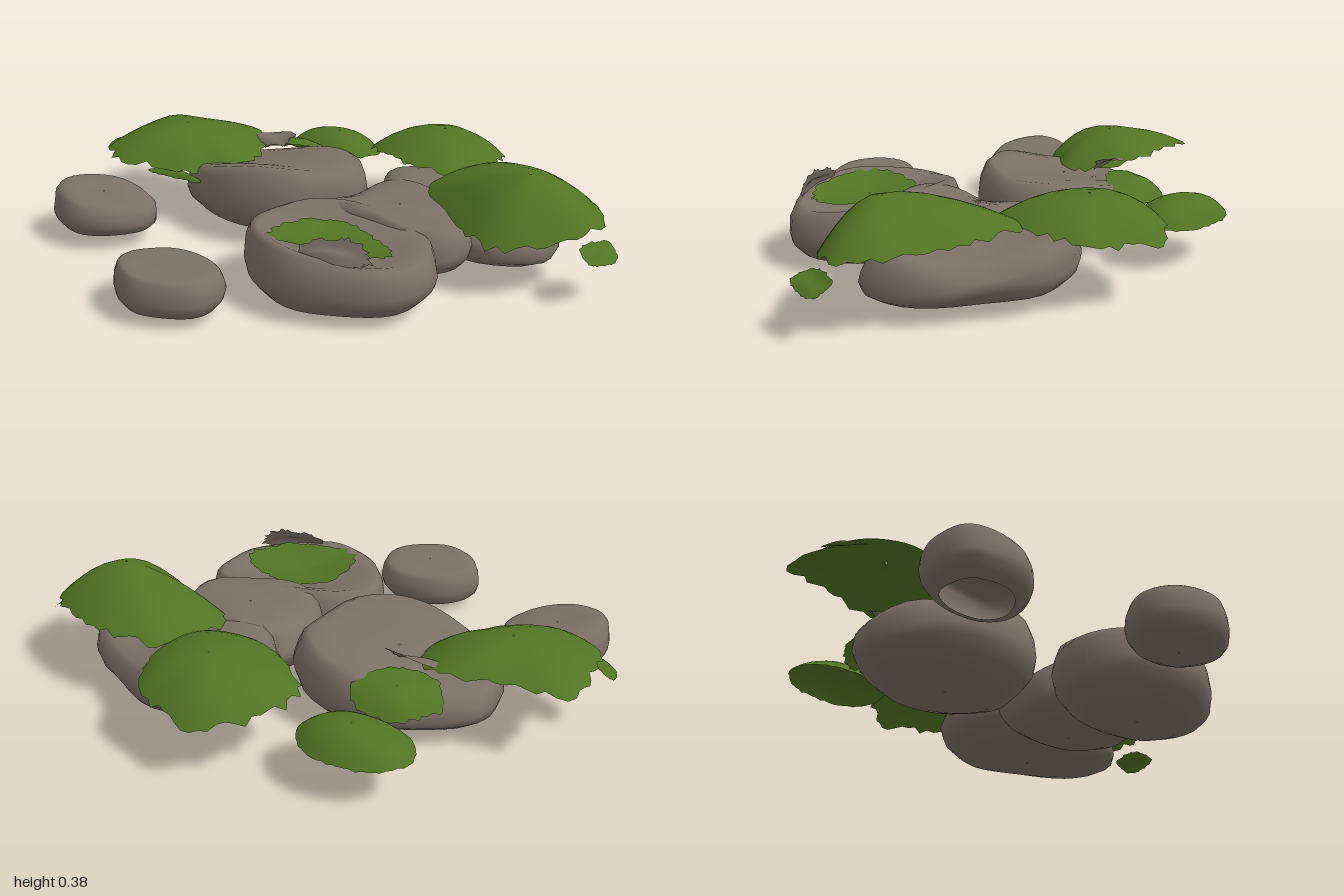
import * as THREE from 'three';

const stone = new THREE.MeshStandardMaterial({ color: 0x7b7166, side: THREE.DoubleSide });
stone.name = 'stone grey';
const moss = new THREE.MeshStandardMaterial({ color: 0x527424, side: THREE.DoubleSide });
moss.name = 'moss green';

// Small seeded generator for ragged edges
function seeded(seed) {
  return () => (seed = (seed * 16807) % 2147483647) / 2147483647;
}

// Skin closed rings of Vector3, ordered from bottom/outside to top/centre
function loft(rings) {
  const n = rings[0].length;
  const index = [];
  for (let i = 0; i < rings.length - 1; i++) {
    for (let j = 0; j < n; j++) {
      const a = i * n + j, b = i * n + (j + 1) % n;
      index.push(a, a + n, b, b, a + n, b + n);
    }
  }
  const geo = new THREE.BufferGeometry().setFromPoints(rings.flat());
  geo.setIndex(index);
  geo.computeVertexNormals();
  return geo;
}

// Smooth closed outline through [x, z, y] points
function outline(points, count) {
  const curve = new THREE.CatmullRomCurve3(
    points.map(([x, z, y = 0]) => new THREE.Vector3(x, y, z)), true, 'centripetal');
  return curve.getSpacedPoints(count).slice(0, count);
}

const middle = (pts) => pts.reduce((s, p) => s.add(p), new THREE.Vector3()).divideScalar(pts.length);

// Vertical section of a boulder: [radius, height], bottom to top
const section = [[0.01, 0.0], [0.35, 0.01], [0.65, 0.06], [0.86, 0.16], [0.97, 0.32], [1, 0.5],
  [0.98, 0.72], [0.92, 0.9], [0.84, 0.98], [0.65, 1], [0.45, 1], [0.22, 1], [0.01, 1]];

// dish sinks the middle of the top below the rim
function boulder(name, y0, y1, points, { tiltX = 0, tiltZ = 0, bump = 0.012, dish = 0, open = false } = {}) {
  const rim = outline(points, 36);
  const c = middle(rim);
  const rings = (open ? section.slice(2) : section).map(([r, h]) => rim.map((p) => {
    const x = c.x + (p.x - c.x) * r, z = c.z + (p.z - c.z) * r;
    const lump = bump * r * (Math.sin(13 * x + 5 * h) + Math.sin(17 * z - 7 * h + 1));
    const sink = h > 0.85 ? dish * (1 - (r / 0.93) ** 2) : 0;
    const y = y0 + (y1 - y0) * h + h * (tiltX * (x - c.x) + tiltZ * (z - c.z) + lump) - sink;
    const k = 1 - Math.abs(lump) * 1.2;
    return new THREE.Vector3(c.x + (x - c.x) * k, y, c.z + (z - c.z) * k);
  }));
  const mesh = new THREE.Mesh(loft(rings), stone);
  mesh.name = name;
  return mesh;
}

// Thin domed sheet with a ragged edge; peak is [x, z, y]
function sheet(name, material, peak, points, { ragged = 0.09, seed = 7, power = 2.3 } = {}) {
  const rand = seeded(seed * 7919);
  const rim = outline(points, 56);
  const tear = rim.map(() => 1.02 - ragged * rand());
  const rings = [1, 0.88, 0.74, 0.58, 0.4, 0.2, 0.01].map((t, i) => rim.map((p, j) => {
    const r = i === 0 ? tear[j] : t;
    return new THREE.Vector3(
      peak[0] + (p.x - peak[0]) * r,
      peak[2] + (p.y - peak[2]) * Math.pow(r, power),
      peak[1] + (p.z - peak[1]) * r);
  }));
  const mesh = new THREE.Mesh(loft(rings), material);
  mesh.name = name;
  return mesh;
}

export function createModel() {
  const model = new THREE.Group();
  model.name = 'mossy rocks';

  // Large boulders
  model.add(
    boulder('rightBoulder', 0.025, 0.25, [[0.04, -0.21], [0.0, -0.05], [-0.08, 0.08], [-0.3, 0.16],
      [-0.5, 0.12], [-0.65, 0.0], [-0.66, -0.2], [-0.5, -0.34], [-0.3, -0.41], [-0.1, -0.37]],
    { tiltX: 0.16, tiltZ: 0.1, dish: 0.01 }),
    boulder('frontBoulder', 0.0, 0.245, [[-0.07, 0.27], [-0.04, 0.12], [0.1, 0.02], [0.35, 0.0],
      [0.55, 0.06], [0.61, 0.18], [0.58, 0.33], [0.45, 0.44], [0.25, 0.51], [0.05, 0.44]],
    { tiltX: -0.06, tiltZ: -0.02, dish: 0.07 }),
    boulder('middleBoulder', 0.03, 0.23, [[0.03, -0.05], [0.08, -0.25], [0.3, -0.28], [0.5, -0.22],
      [0.57, -0.08], [0.53, 0.05], [0.3, 0.1], [0.1, 0.1]], { bump: 0.018 }),
    boulder('backBoulder', 0.03, 0.215, [[0.02, -0.4], [0.12, -0.58], [0.36, -0.65], [0.55, -0.56],
      [0.74, -0.4], [0.76, -0.25], [0.6, -0.13], [0.35, -0.14], [0.1, -0.2]], { bump: 0.016, tiltX: -0.08 }));

  // Small loose stones, one hollow underneath
  model.add(
    boulder('hollowStone', 0.035, 0.175, [[-0.88, 0.4], [-0.85, 0.29], [-0.72, 0.23], [-0.55, 0.26],
      [-0.5, 0.35], [-0.56, 0.48], [-0.68, 0.55], [-0.85, 0.5]], { tiltX: -0.13, open: true }),
    boulder('frontStone', 0.01, 0.16, [[-0.28, 0.66], [-0.2, 0.54], [-0.08, 0.5], [0.05, 0.53],
      [0.11, 0.62], [0.1, 0.72], [-0.08, 0.82], [-0.23, 0.76]], { bump: 0.006, tiltZ: 0.04 }));

  // Large moss blankets
  model.add(
    sheet('backMoss', moss, [0.12, -0.6, 0.335], [[-0.17, -0.53, 0.22], [-0.13, -0.7, 0.22],
      [0.04, -0.83, 0.2], [0.2, -0.8, 0.21], [0.31, -0.73, 0.23], [0.36, -0.55, 0.25],
      [0.31, -0.38, 0.25], [0.14, -0.35, 0.26], [-0.02, -0.39, 0.25]], { seed: 3 }),
    sheet('leftMoss', moss, [0.68, -0.27, 0.378], [[0.28, -0.22, 0.22], [0.3, -0.51, 0.25],
      [0.56, -0.56, 0.26], [0.84, -0.46, 0.24], [0.92, -0.35, 0.23], [0.9, -0.24, 0.22],
      [0.7, -0.04, 0.18], [0.58, -0.05, 0.18], [0.38, -0.16, 0.18]], { seed: 5, power: 1.8 }),
    sheet('rightMoss', moss, [-0.68, -0.04, 0.33], [[-0.95, -0.04, 0.26], [-0.95, -0.2, 0.26],
      [-0.76, -0.25, 0.27], [-0.53, -0.29, 0.27], [-0.45, -0.23, 0.25], [-0.38, -0.04, 0.2],
      [-0.48, 0.07, 0.2], [-0.54, 0.13, 0.21], [-0.78, 0.23, 0.23], [-0.93, 0.15, 0.23]], { seed: 11 }));

  // Small moss patches, the front one lining the hollow of its boulder
  model.add(
    sheet('frontMoss', moss, [0.27, 0.27, 0.2], [[0.09, 0.33, 0.235], [0.13, 0.18, 0.22],
      [0.24, 0.13, 0.215], [0.4, 0.17, 0.205], [0.52, 0.25, 0.215], [0.44, 0.37, 0.23],
      [0.27, 0.43, 0.245], [0.14, 0.43, 0.24]], { seed: 13, ragged: 0.12, power: 1.5 }),
    sheet('rightBackMoss', moss, [-0.42, -0.36, 0.24], [[-0.57, -0.34, 0.18], [-0.48, -0.45, 0.17],
      [-0.33, -0.46, 0.18], [-0.27, -0.39, 0.22], [-0.36, -0.28, 0.25], [-0.52, -0.26, 0.23]], { seed: 17 }),
    sheet('mossCap', moss, [-0.38, -0.59, 0.225], [[-0.59, -0.6, 0.16], [-0.53, -0.68, 0.15],
      [-0.39, -0.72, 0.15], [-0.25, -0.68, 0.15], [-0.2, -0.59, 0.16], [-0.26, -0.49, 0.16],
      [-0.4, -0.46, 0.16], [-0.54, -0.5, 0.16]], { seed: 19, ragged: 0.03, power: 2.8 }));

  // Torn scraps of moss and flakes of stone
  model.add(
    sheet('leftMossScrap', moss, [0.95, -0.26, 0.165], [[0.9, -0.22, 0.19], [0.94, -0.35, 0.18],
      [0.99, -0.32, 0.14], [0.96, -0.18, 0.16]], { seed: 23 }),
    sheet('rightMossScrap', moss, [-0.96, 0.07, 0.235], [[-1.0, 0.02, 0.22], [-0.92, 0.04, 0.26],
      [-0.91, 0.15, 0.22], [-0.99, 0.1, 0.21]], { seed: 29 }),
    sheet('trailingMoss', moss, [-0.57, 0.14, 0.21], [[-0.69, 0.18, 0.2], [-0.6, 0.12, 0.21],
      [-0.46, 0.11, 0.18], [-0.58, 0.16, 0.19]], { seed: 31 }),
    sheet('rightFlake', stone, [-0.46, -0.23, 0.28], [[-0.6, -0.22, 0.25], [-0.47, -0.27, 0.28],
      [-0.33, -0.27, 0.31], [-0.35, -0.23, 0.26], [-0.47, -0.2, 0.25]], { seed: 37, ragged: 0.25 }),
    sheet('frontFlake', stone, [0.4, 0.41, 0.25], [[0.27, 0.45, 0.23], [0.32, 0.42, 0.275],
      [0.47, 0.36, 0.285], [0.51, 0.36, 0.21], [0.4, 0.43, 0.2]], { seed: 41, ragged: 0.25 }));

  return model;
}
